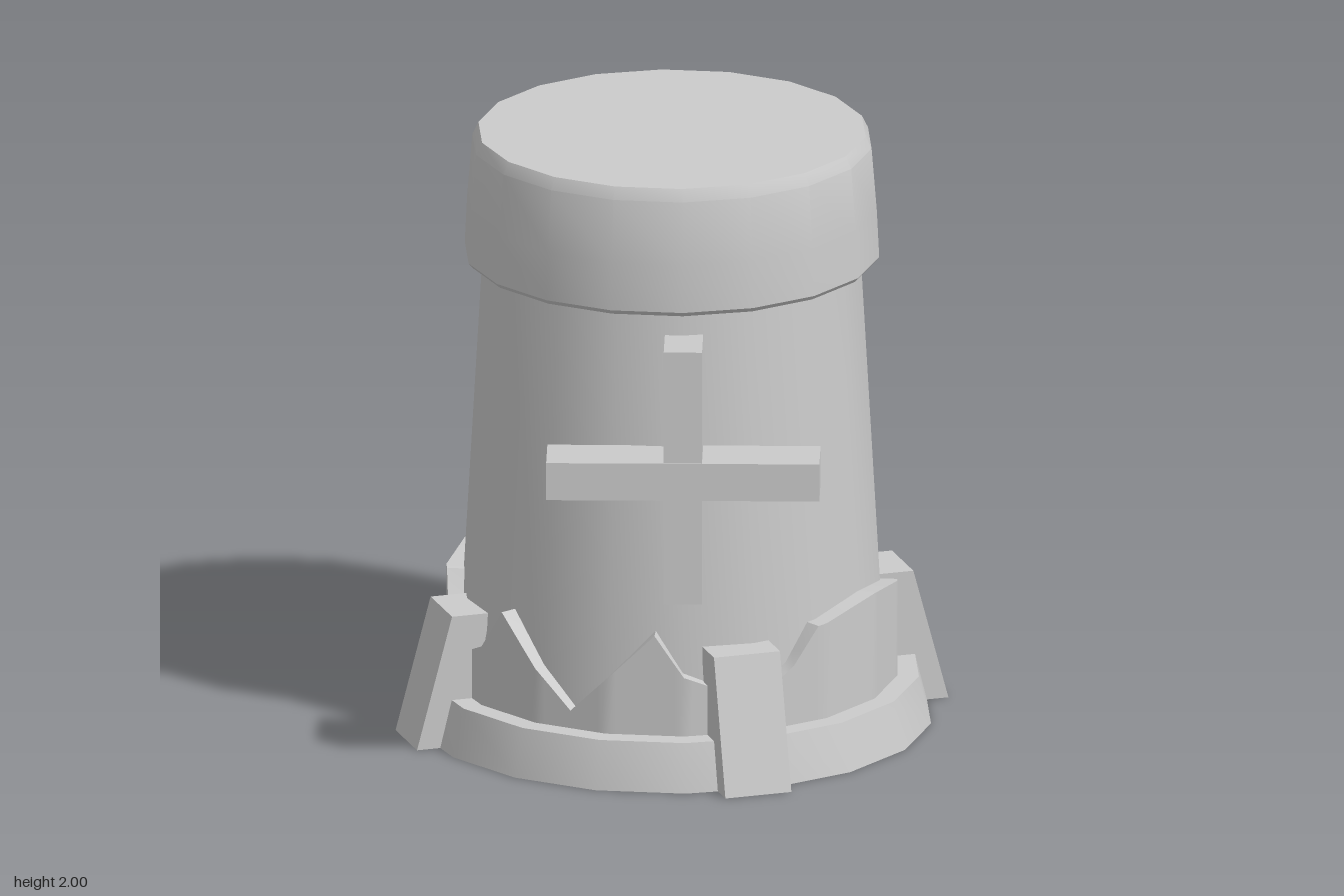
import * as THREE from 'three';
import { toCreasedNormals } from 'three/addons/utils/BufferGeometryUtils.js';

const SIDES = 18;
const rad = THREE.MathUtils.degToRad;
const material = new THREE.MeshStandardMaterial({ color: 0xcccccc, side: THREE.DoubleSide });

const wallRadius = (y) => 0.62 + (1.58 - y) * 0.057;

function part(name, geometry) {
  const mesh = new THREE.Mesh(toCreasedNormals(geometry, rad(28)), material);
  mesh.name = name;
  return mesh;
}

// 18-sided turned part with a flat facing the front
function turned(name, profile) {
  const points = profile.map(([r, y]) => new THREE.Vector2(r, y));
  return part(name, new THREE.LatheGeometry(points, SIDES, rad(10)));
}

// radius of the 18-sided outline at an angle (degrees from +z)
function facetRadius(r, deg) {
  const off = deg - Math.round(deg / 20) * 20;
  return r * Math.cos(rad(10)) / Math.cos(rad(off));
}

// height at an angle from the panel centre, read from [angle, height] pairs
function heightAt(profile, angle) {
  const a = Math.abs(angle);
  for (let i = 1; i < profile.length; i++) {
    const [a0, h0] = profile[i - 1], [a1, h1] = profile[i];
    if (a <= a1) return h0 + (h1 - h0) * (a - a0) / (a1 - a0);
  }
  return profile[profile.length - 1][1];
}

// curved slab hugging the wall, with a shaped top edge
function panel(name, centre, profile) {
  const half = profile[profile.length - 1][0];
  const steps = Math.round(half * 2 / 2.5);
  const pos = [], index = [];
  for (let j = 0; j <= steps; j++) {
    const off = -half + j * 2.5, deg = centre + off;
    const top = heightAt(profile, off), bottom = 0.03;
    const section = [[0.74, bottom], [0.74, top],
      [wallRadius(top) - 0.012, top], [wallRadius(bottom) - 0.012, bottom]];
    for (const [r, y] of section) {
      const f = facetRadius(r, deg);
      pos.push(f * Math.sin(rad(deg)), y, f * Math.cos(rad(deg)));
    }
    if (j === steps) continue;
    for (let k = 0; k < 4; k++) {
      const k1 = (k + 1) % 4, a = j * 4, b = a + 4;
      index.push(a + k, b + k, b + k1, a + k, b + k1, a + k1);
    }
  }
  const e = steps * 4;
  index.push(0, 1, 2, 0, 2, 3, e, e + 2, e + 1, e, e + 3, e + 2);
  const geometry = new THREE.BufferGeometry();
  geometry.setAttribute('position', new THREE.Float32BufferAttribute(pos, 3));
  geometry.setIndex(index);
  return part(name, geometry);
}

export function createModel() {
  const model = new THREE.Group();
  model.name = 'tower';
  const tower = new THREE.Group();
  tower.name = 'towerBody';
  tower.position.z = -0.055;
  model.add(tower);

  // hollow tapering wall, thick cap and flared foot ring
  tower.add(turned('wall', [[wallRadius(0.02), 0.02], [wallRadius(1.6), 1.6]]));
  tower.add(turned('cap', [[0.615, 1.58], [0.668, 1.575], [0.68, 1.59],
    [0.672, 1.75], [0.655, 1.96], [0.635, 2], [0, 2]]));
  tower.add(turned('footRing', [[0.7, 0], [0.85, 0], [0.81, 0.16], [0.69, 0.16], [0.7, 0]]));

  // shaped panels between the buttresses
  const hump = [[0, 0.52], [22.5, 0.48], [30, 0.36], [35, 0.32]];
  tower.add(panel('frontPanel', 0, [[0, 0.22], [22.5, 0.5], [30, 0.36], [37.5, 0.32]]));
  tower.add(panel('leftPanel', 90, hump));
  tower.add(panel('rightPanel', -90, hump));
  tower.add(panel('backPanel', 180, [[0, 0.88], [10, 0.88], [15, 0.8], [20, 0.63],
    [25, 0.45], [30, 0.35], [37.5, 0.3]]));

  // four leaning buttresses on the diagonals
  const side = new THREE.Shape([[0.74, 0], [0.91, 0], [0.79, 0.445], [0.66, 0.445]]
    .map(([x, y]) => new THREE.Vector2(x, y)));
  const buttress = new THREE.ExtrudeGeometry(side, { depth: 0.226, bevelEnabled: false });
  buttress.translate(0, 0, -0.113);
  for (let i = 0; i < 4; i++) {
    const mesh = part('buttress', buttress);
    mesh.rotation.y = rad(45 + i * 90);
    tower.add(mesh);
  }

  // crossed bars leaning with the wall
  const cross = new THREE.Group();
  cross.name = 'crossedBars';
  const upright = part('uprightBar', new THREE.BoxGeometry(0.125, 0.85, 0.225));
  const crossbar = part('crossbar', new THREE.BoxGeometry(0.89, 0.125, 0.23));
  crossbar.position.y = -0.012;
  cross.add(upright, crossbar);
  cross.position.set(0.37, 1.075, 0.59);
  cross.rotation.set(-0.047, rad(26), 0, 'YXZ');
  model.add(cross);

  return model;
}
